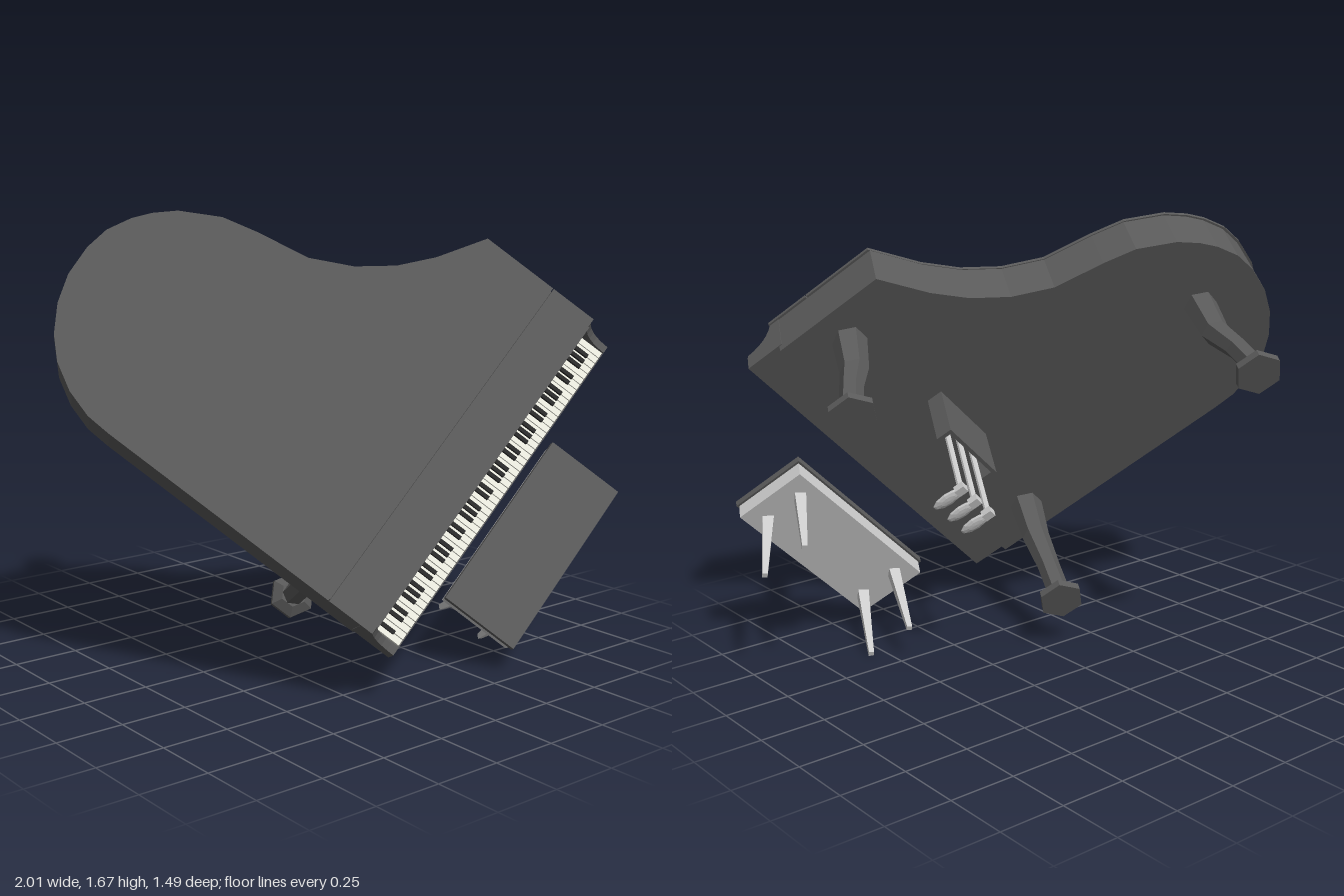
import * as THREE from 'three';

const mat = (color) => new THREE.MeshStandardMaterial({ color, flatShading: true });
const DARK = mat(0x5a5a5a), LIGHT = mat(0xcccccc), IVORY = mat(0xf0f0e4), BLACK = mat(0x2a2a2a);
const MID = 0.7135, WIDTH = 1.427;

function add(parent, name, geometry, material) {
  const mesh = new THREE.Mesh(geometry, material);
  mesh.name = name;
  parent.add(mesh);
  return mesh;
}

// Box given by its ranges: u across the keyboard, w up, v from player to tail
function block(parent, name, u0, u1, w0, w1, v0, v1, material = DARK) {
  const g = new THREE.BoxGeometry(u1 - u0, w1 - w0, v1 - v0);
  g.translate((u0 + u1) / 2, (w0 + w1) / 2, -(v0 + v1) / 2);
  return add(parent, name, g, material);
}

// Horizontal slab from an outline of [u, v] points
function slab(points, w0, w1) {
  const shape = new THREE.Shape(points.map(([u, v]) => new THREE.Vector2(u, v)));
  const g = new THREE.ExtrudeGeometry(shape, { depth: w1 - w0, bevelEnabled: false });
  return g.rotateX(-Math.PI / 2).translate(0, w0, 0);
}

// Six-sided loft through rings [u, w, v, radius], listed from top to bottom
function loft(rings, sides = 6) {
  const pos = [], index = [];
  rings.forEach(([u, w, v, r], i) => {
    for (let j = 0; j < sides; j++) {
      const a = (j / sides) * Math.PI * 2;
      pos.push(u + r * Math.cos(a), w, -v + r * Math.sin(a));
      if (i === 0) continue;
      const k = (j + 1) % sides, up = (i - 1) * sides, lo = i * sides;
      index.push(up + j, up + k, lo + j, up + k, lo + k, lo + j);
    }
  });
  const g = new THREE.BufferGeometry();
  g.setAttribute('position', new THREE.Float32BufferAttribute(pos, 3));
  g.setIndex(index);
  const flat = g.toNonIndexed();
  flat.computeVertexNormals();
  return flat;
}

// Curved leg that kicks out along (du, dv) above a hexagonal foot
function pianoLeg(parent, name, u, v, du, dv) {
  const leg = new THREE.Group();
  leg.name = name;
  parent.add(leg);
  const path = [[-0.2, 0, 0.066], [-0.4, 0.005, 0.054], [-0.55, 0.05, 0.044], [-0.68, 0.075, 0.044]];
  add(leg, 'legShaft', loft(path.map(([w, k, r]) => [u + du * k, w, v + dv * k, r])), DARK);
  const fu = u + du * 0.075, fv = v + dv * 0.075;
  add(leg, 'footCollar', new THREE.CylinderGeometry(0.05, 0.088, 0.03, 6).translate(fu, -0.69, -fv), DARK);
  add(leg, 'foot', new THREE.CylinderGeometry(0.088, 0.088, 0.03, 6).translate(fu, -0.72, -fv), DARK);
}

function buildCase(piano) {
  const curve = [
    [WIDTH, 0.301], [1.244, 0.409], [1.124, 0.504], [1.022, 0.622], [0.942, 0.769], [0.902, 0.968],
    [0.867, 1.096], [0.785, 1.231], [0.72, 1.295], [0.659, 1.338], [0.57, 1.378], [0.477, 1.39],
    [0.36, 1.38], [0.255, 1.344], [0.16, 1.285], [0.09, 1.216], [0.035, 1.12], [0.005, 1.02], [0, 0.93],
  ];
  const inset = ([u, v]) => [MID + (u - MID) * 0.988, 0.6 + (v - 0.6) * 0.988];
  add(piano, 'case', slab([[0, -0.16], [WIDTH, -0.16], ...curve].map(inset), -0.21, -0.014), DARK);
  add(piano, 'lid', slab([[0, 0.002], [WIDTH, 0.002], ...curve], -0.014, 0), DARK);
  block(piano, 'lidFrontFlap', 0, WIDTH, -0.014, 0, -0.184, -0.002);

  // Concave cheeks at both ends of the keyboard
  const cheek = new THREE.Shape();
  cheek.moveTo(0.14, -0.178);
  cheek.lineTo(0.3, -0.178);
  cheek.lineTo(0.298, -0.1);
  cheek.quadraticCurveTo(0.205, -0.095, 0.182, -0.012);
  cheek.lineTo(0.14, -0.012);
  for (const end of [0.034, WIDTH - 0.006]) {
    const g = new THREE.ExtrudeGeometry(cheek, { depth: 0.028, bevelEnabled: false, curveSegments: 6 });
    add(piano, 'cheek', g.rotateY(-Math.PI / 2).translate(end, 0, 0), DARK);
  }
  block(piano, 'keybed', 0.006, WIDTH - 0.006, -0.178, -0.108, -0.3, -0.14);
  block(piano, 'fallboard', 0.03, WIDTH - 0.03, -0.11, -0.012, -0.19, -0.14);
}

function buildKeyboard(piano) {
  const keyboard = new THREE.Group();
  keyboard.name = 'keyboard';
  piano.add(keyboard);
  const start = 0.042, pitch = (WIDTH - 2 * start) / 52;
  for (let i = 0; i < 52; i++) {
    const u = start + i * pitch;
    block(keyboard, 'whiteKey', u + 0.001, u + pitch - 0.002, -0.108, -0.09, -0.293, -0.19, IVORY);
    if (i < 51 && ![1, 4].includes(i % 7)) {
      block(keyboard, 'blackKey', u + pitch - 0.007, u + pitch + 0.007, -0.092, -0.078, -0.255, -0.19, BLACK);
    }
  }
}

function buildPedals(piano) {
  const lyre = new THREE.Group();
  lyre.name = 'pedalLyre';
  piano.add(lyre);
  const half = 0.145;
  block(lyre, 'lyrePanel', MID - half, MID + half, -0.45, -0.2, 0.15, 0.165);
  for (const s of [-1, 1]) {
    const u = MID + s * (half - 0.008);
    block(lyre, 'lyreSide', u - 0.008, u + 0.008, -0.45, -0.2, 0.1, 0.165);
  }
  for (const k of [-1, 0, 1]) {
    const u = MID + k * 0.083;
    add(lyre, 'pedalRod', new THREE.CylinderGeometry(0.012, 0.012, 0.5, 8).translate(u, -0.45, -0.115), LIGHT);
    block(lyre, 'pedalHeel', u - 0.016, u + 0.016, -0.715, -0.685, 0.095, 0.135, LIGHT);
    const pedal = new THREE.SphereGeometry(1, 10, 6).scale(0.027, 0.012, 0.065);
    add(lyre, 'pedal', pedal.translate(u, -0.705, -0.055), LIGHT);
  }
}

function buildBench(piano) {
  const bench = new THREE.Group();
  bench.name = 'bench';
  piano.add(bench);
  block(bench, 'benchSeat', MID - 0.368, MID + 0.372, -0.365, -0.338, -0.682, -0.37);
  block(bench, 'benchFrame', MID - 0.36, MID + 0.364, -0.43, -0.365, -0.675, -0.378, LIGHT);
  for (const s of [-1, 1]) {
    for (const [top, foot] of [[-0.61, -0.63], [-0.45, -0.44]]) {
      const rings = [[MID + s * 0.28, -0.425, top, 0.03], [MID + s * 0.302, -0.735, foot, 0.014]];
      add(bench, 'benchLeg', loft(rings, 4), LIGHT);
      const cap = new THREE.CylinderGeometry(0.014, 0.014, 0.004, 4).rotateY(Math.PI / 2);
      add(bench, 'benchLegTip', cap.translate(MID + s * 0.302, -0.735, -foot), LIGHT);
    }
  }
}

export function createModel() {
  const model = new THREE.Group();
  model.name = 'grandPianoWithBench';
  const piano = new THREE.Group();
  piano.name = 'grandPiano';
  model.add(piano);

  buildCase(piano);
  buildKeyboard(piano);
  buildPedals(piano);
  buildBench(piano);
  pianoLeg(piano, 'frontLegBass', 0.15, 0.062, -0.87, 0);
  pianoLeg(piano, 'frontLegTreble', WIDTH - 0.15, 0.062, 0.87, 0);
  pianoLeg(piano, 'tailLeg', 0.48, 1.14, 0, 1);

  // Whole instrument is tipped: across, up and toward-player axes
  const across = new THREE.Vector3(0.719, 0.697, 0.026).normalize();
  const up = new THREE.Vector3(0.555, -0.6, 0.578).cross(across).normalize();
  const toward = new THREE.Vector3().crossVectors(across, up);
  piano.quaternion.setFromRotationMatrix(new THREE.Matrix4().makeBasis(across, up, toward));
  piano.position.set(-0.39, 0.39, 0.59);
  return model;
}
